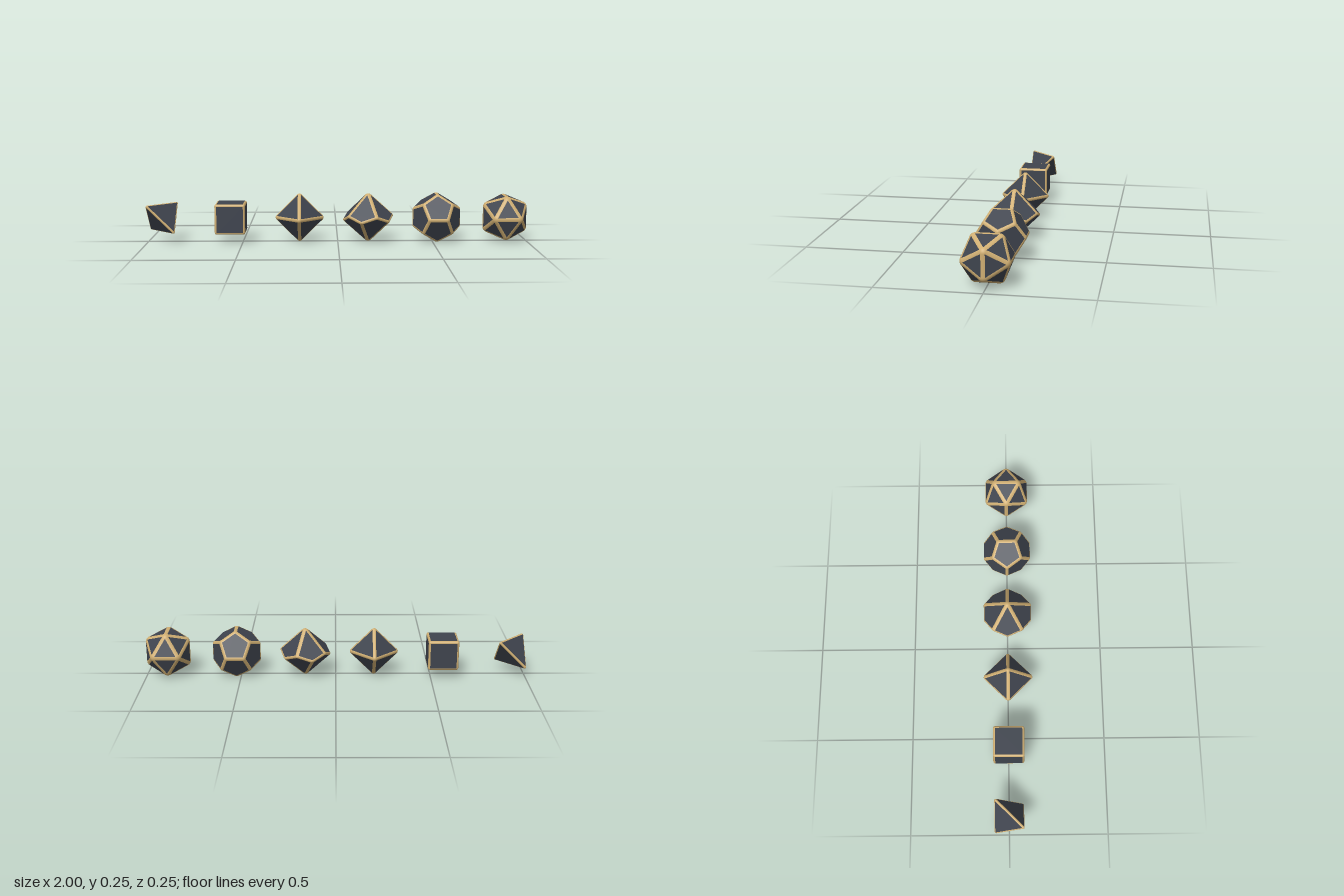
import * as THREE from 'three';

const RADIUS = 0.138;   // circumradius of every die before rounding
const INSET = 0.0107;   // distance of each dark face from the sharp edge
const ARC = 6;          // segments across a rounded edge
const RINGS = 3;        // rings in a rounded corner
const PHI = (1 + Math.sqrt(5)) / 2;
const V = (x, y, z) => new THREE.Vector3(x, y, z);
const mix = (a, b, t) => a.clone().lerp(b, t);

// All sign combinations of a point, and its cyclic permutations
function signs(x, y, z) {
  const out = [];
  for (const a of x ? [1, -1] : [1])
    for (const b of y ? [1, -1] : [1])
      for (const c of z ? [1, -1] : [1]) out.push(V(a * x, b * y, c * z));
  return out;
}
const cyclic = (x, y, z) => [...signs(x, y, z), ...signs(z, x, y), ...signs(y, z, x)];

// Ten-sided die: two tips and a zigzag belt
function trapezohedron() {
  const h = (1 - Math.cos(Math.PI / 5)) / (1 + Math.cos(Math.PI / 5));
  const pts = [V(0, 1, 0), V(0, -1, 0)];
  for (let i = 0; i < 10; i++) {
    const a = (i * Math.PI) / 5;
    pts.push(V(Math.cos(a), i % 2 ? -h : h, Math.sin(a)));
  }
  return pts;
}

// Sort items by angle around an axis
function sortAround(items, axis, dirOf) {
  const u = V(0.31, 0.87, 0.53).cross(axis).normalize();
  const w = axis.clone().cross(u);
  const angle = (i) => Math.atan2(dirOf(i).dot(w), dirOf(i).dot(u));
  return items.sort((a, b) => angle(a) - angle(b));
}

// Faces of the convex hull as {n, ids}, corners in counterclockwise order
function hullFaces(pts) {
  const faces = [];
  const n = pts.length;
  for (let i = 0; i < n; i++) for (let j = i + 1; j < n; j++) for (let k = j + 1; k < n; k++) {
    const normal = pts[j].clone().sub(pts[i]).cross(pts[k].clone().sub(pts[i])).normalize();
    if (normal.dot(pts[i]) < 0) normal.negate();
    const d = normal.dot(pts[i]);
    if (d < 1e-4 || pts.some((p) => normal.dot(p) > d + 1e-5)) continue;
    if (faces.some((f) => f.n.dot(normal) > 0.9999)) continue;
    const ids = pts.map((_, q) => q).filter((q) => normal.dot(pts[q]) > d - 1e-5);
    const mid = ids.reduce((s, q) => s.add(pts[q]), V(0, 0, 0)).divideScalar(ids.length);
    faces.push({ n: normal, ids: sortAround(ids, normal, (q) => pts[q].clone().sub(mid)) });
  }
  return faces;
}

// Collects triangles of {p, n} corners, each turned to face outward
class Surface {
  constructor() { this.pos = []; this.nor = []; }
  tri(a, b, c) {
    const g = b.p.clone().sub(a.p).cross(c.p.clone().sub(a.p));
    if (g.lengthSq() < 1e-20) return;
    const order = g.dot(a.n.clone().add(b.n).add(c.n)) < 0 ? [a, c, b] : [a, b, c];
    for (const v of order) { this.pos.push(...v.p.toArray()); this.nor.push(...v.n.toArray()); }
  }
  strip(a, b) {
    for (let i = 0; i + 1 < a.length; i++) {
      this.tri(a[i], a[i + 1], b[i + 1]);
      this.tri(a[i], b[i + 1], b[i]);
    }
  }
  mesh(name, material) {
    const g = new THREE.BufferGeometry();
    g.setAttribute('position', new THREE.Float32BufferAttribute(this.pos, 3));
    g.setAttribute('normal', new THREE.Float32BufferAttribute(this.nor, 3));
    const m = new THREE.Mesh(g, material);
    m.name = name;
    return m;
  }
}

function buildDie(name, directions, faceMaterial, edgeMaterial) {
  const size = Math.max(...directions.map((p) => p.length()));
  const pts = directions.map((p) => p.clone().multiplyScalar(RADIUS / size));
  const faces = hullFaces(pts);
  const panels = new Surface();
  const trim = new Surface();

  // Inset corner of a face next to vertex v
  const corner = (f, v) => {
    const i = f.ids.indexOf(v), c = f.ids.length;
    const a = pts[f.ids[(i + 1) % c]].clone().sub(pts[v]).normalize();
    const b = pts[f.ids[(i + c - 1) % c]].clone().sub(pts[v]).normalize();
    const s = INSET / Math.sin(a.angleTo(b));
    return a.add(b).multiplyScalar(s).add(pts[v]);
  };

  // Rounded cross-section from face A to face B at vertex v
  const arc = (v, A, B) => {
    const ang = A.n.angleTo(B.n);
    const r = INSET / Math.tan(ang / 2);
    const cA = corner(A, v).addScaledVector(A.n, -r);
    const cB = corner(B, v).addScaledVector(B.n, -r);
    return Array.from({ length: ARC + 1 }, (_, i) => {
      const t = i / ARC;
      const n = A.n.clone().multiplyScalar(Math.sin((1 - t) * ang))
        .addScaledVector(B.n, Math.sin(t * ang)).normalize();
      const c = mix(cA, cB, t);
      return { p: c.clone().addScaledVector(n, r), n, c, r };
    });
  };

  // Flat dark faces
  for (const f of faces) {
    const loop = f.ids.map((v) => ({ p: corner(f, v), n: f.n }));
    for (let i = 1; i + 1 < loop.length; i++) panels.tri(loop[0], loop[i], loop[i + 1]);
  }

  // Rounded edges
  faces.forEach((A, i) => faces.slice(i + 1).forEach((B) => {
    const shared = A.ids.filter((v) => B.ids.includes(v));
    if (shared.length === 2) trim.strip(arc(shared[0], A, B), arc(shared[1], A, B));
  }));

  // Rounded corners, closing in rings toward the tip
  pts.forEach((p, v) => {
    const axis = p.clone().normalize();
    const around = sortAround(faces.filter((f) => f.ids.includes(v)), axis, (f) => f.n);
    const rim = around.flatMap((f, i) => arc(v, f, around[(i + 1) % around.length]));
    const tipN = around.reduce((s, f) => s.add(f.n), V(0, 0, 0)).normalize();
    const tipC = rim.reduce((s, q) => s.add(q.c), V(0, 0, 0)).divideScalar(rim.length);
    const tipR = rim.reduce((s, q) => s + q.r, 0) / rim.length;
    rim.push(rim[0]);
    let last = rim;
    for (let k = 1; k <= RINGS; k++) {
      const t = k / RINGS;
      const ring = rim.map((q) => {
        const n = mix(q.n, tipN, t).normalize();
        const r = q.r + (tipR - q.r) * t;
        return { p: mix(q.c, tipC, t).addScaledVector(n, r), n };
      });
      trim.strip(last, ring);
      last = ring;
    }
  });

  const die = new THREE.Group();
  die.name = name;
  die.add(panels.mesh('faces', faceMaterial), trim.mesh('edges', edgeMaterial));
  return die;
}

export function createModel() {
  const slate = new THREE.MeshStandardMaterial({ color: 0x3f444e });
  slate.name = 'slate';
  const gold = new THREE.MeshStandardMaterial({ color: 0xcfae72 });
  gold.name = 'gold';

  const dice = [
    ['fourSidedDie', [V(-1, 1, 1), V(1, -1, 1), V(1, 1, -1), V(-1, -1, -1)]],
    ['sixSidedDie', signs(1, 1, 1)],
    ['eightSidedDie', cyclic(1, 0, 0)],
    ['tenSidedDie', trapezohedron()],
    ['twelveSidedDie', [...signs(1, 1, 1), ...cyclic(PHI, 1 / PHI, 0)]],
    ['twentySidedDie', cyclic(PHI, 1, 0)],
  ];

  // Row of dice, all centred at the same height
  const model = new THREE.Group();
  model.name = 'diceSet';
  dice.forEach(([name, points], i) => {
    const die = buildDie(name, points, slate, gold);
    die.position.set(-0.926 + i * 0.3622, 0.127, 0);
    model.add(die);
  });
  return model;
}
